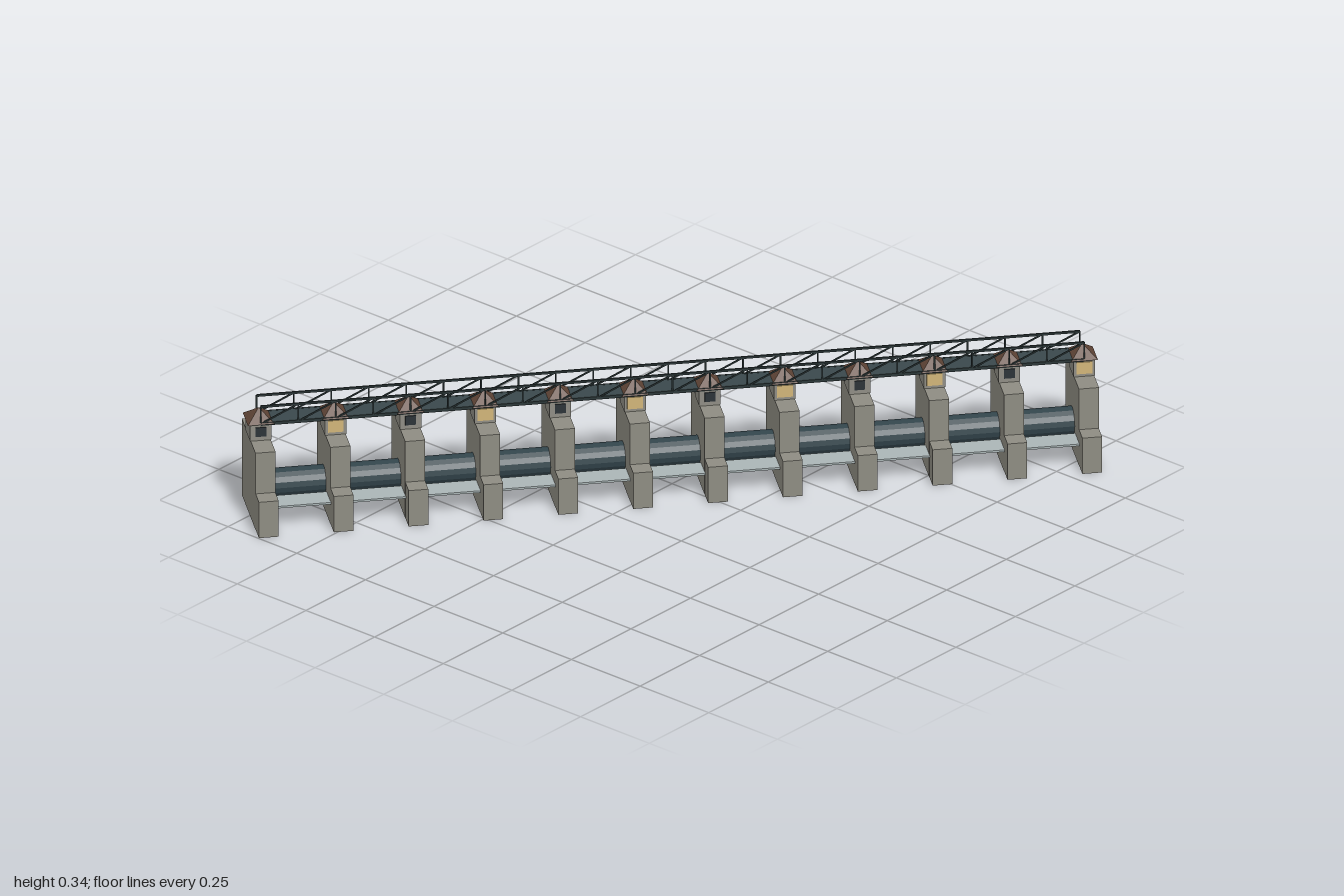
import * as THREE from 'three';

const mat = (name, color, extra = {}) => {
  const m = new THREE.MeshStandardMaterial({ color, ...extra });
  m.name = name;
  return m;
};

export function createModel() {
  const concrete = mat('concrete', 0x8e8c82);
  const hutWall = mat('hutWall', 0x8f8d84);
  const roofBrown = mat('roofBrown', 0x5f4436, { flatShading: true });
  const gateSteel = mat('gateSteel', 0x32444b, { flatShading: true });
  const deckSteel = mat('deckSteel', 0x3a484c);
  const railSteel = mat('railSteel', 0x2b3637);
  const litGlass = mat('litGlass', 0xd0b478);
  const darkGlass = mat('darkGlass', 0x2c3338);
  const waterPale = mat('waterPale', 0xaab5b6);

  const model = new THREE.Group();
  model.name = 'barrage';
  // The whole row stands diagonally; local x runs along it, local +z is downstream
  const row = new THREE.Group();
  row.name = 'barrageRow';
  row.rotation.y = -0.684;
  model.add(row);

  const box = (name, material, w, h, d, x, y, z, parent = row) => {
    const m = new THREE.Mesh(new THREE.BoxGeometry(w, h, d), material);
    m.name = name;
    m.position.set(x, y, z);
    parent.add(m);
    return m;
  };

  const COUNT = 12, HALF = 1.15, STEP = (2 * HALF) / (COUNT - 1);
  const HUT_Z = -0.028, DECK_Y = 0.286, TOP_Y = 0.339;

  // Piers, each with a low downstream step and a gate hut
  for (let i = 0; i < COUNT; i++) {
    const pier = new THREE.Group();
    pier.name = 'pier';
    pier.position.x = -HALF + i * STEP;
    row.add(pier);
    box('pierWall', concrete, 0.056, 0.235, 0.217, 0, 0.1175, -0.0265, pier);
    box('pierStep', concrete, 0.055, 0.11, 0.053, 0, 0.055, 0.1085, pier);
    box('hut', hutWall, 0.06, 0.055, 0.07, 0, 0.2625, HUT_Z, pier);

    // Hipped roof
    const roofGeo = new THREE.ConeGeometry(Math.SQRT1_2, 1, 4, 1).rotateY(Math.PI / 4);
    const roof = new THREE.Mesh(roofGeo, roofBrown);
    roof.name = 'hutRoof';
    roof.scale.set(0.074, 0.034, 0.084);
    roof.position.set(0, 0.303, HUT_Z);
    pier.add(roof);

    // Windows up and downstream, alternately lit and dark
    const lit = i % 2 === 1;
    const glass = lit ? litGlass : darkGlass;
    box('frontWindow', glass, lit ? 0.044 : 0.03, lit ? 0.036 : 0.028, 0.004, 0, 0.262, HUT_Z + 0.036, pier);
    box('backWindow', glass, 0.03, 0.028, 0.004, 0, 0.262, HUT_Z - 0.036, pier);
  }

  // Long roller gate between the piers
  const gate = new THREE.Mesh(new THREE.CylinderGeometry(0.04, 0.04, 2 * HALF, 16), gateSteel);
  gate.name = 'rollerGate';
  gate.rotation.z = Math.PI / 2;
  gate.position.set(0, 0.088, -0.024);
  row.add(gate);

  // Sheet downstream of the gate
  box('downstreamSheet', waterPale, 2 * HALF, 0.006, 0.068, 0, 0.067, 0.056);

  // Service bridge deck
  box('bridgeDeck', deckSteel, 2 * HALF, 0.008, 0.068, 0, DECK_Y, HUT_Z);

  // Truss railings on both sides
  const PANELS = (COUNT - 1) * 2, PW = (2 * HALF) / PANELS, H = TOP_Y - DECK_Y;
  for (const side of [-1, 1]) {
    const truss = new THREE.Group();
    truss.name = 'trussRailing';
    truss.position.z = HUT_Z + side * 0.035;
    row.add(truss);
    box('topChord', railSteel, 2 * HALF, 0.006, 0.006, 0, TOP_Y, 0, truss);
    box('bottomChord', railSteel, 2 * HALF, 0.009, 0.006, 0, DECK_Y, 0, truss);
    for (let p = 0; p <= PANELS; p++) {
      const x = -HALF + p * PW;
      box('post', railSteel, 0.004, H, 0.004, x, DECK_Y + H / 2, 0, truss);
      if (p === PANELS) continue;
      const brace = box('brace', railSteel, Math.hypot(PW, H), 0.004, 0.004, x + PW / 2, DECK_Y + H / 2, 0, truss);
      brace.rotation.z = Math.atan2(H, PW);
    }
  }
  return model;
}
